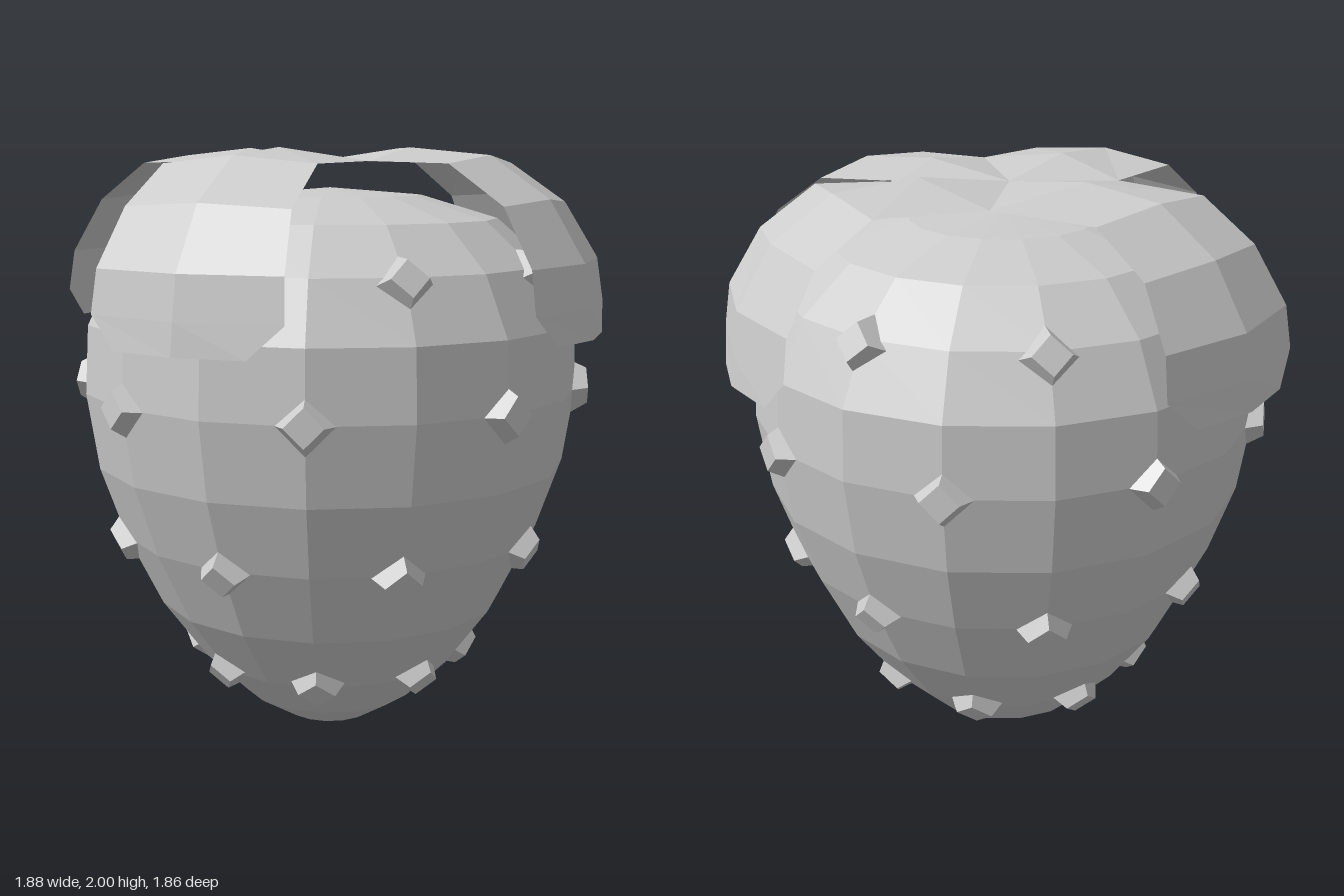
import * as THREE from 'three';

const grey = new THREE.MeshStandardMaterial({ color: 0xcccccc, flatShading: true, side: THREE.DoubleSide });
grey.name = 'grey';

// Body profile from the tip to the top: radius, height
const PROFILE = [
  [0, 0], [0.154, 0.034], [0.3, 0.125], [0.445, 0.27], [0.595, 0.475], [0.715, 0.72],
  [0.797, 0.957], [0.835, 1.21], [0.822, 1.435], [0.727, 1.625], [0.56, 1.77], [0.31, 1.845], [0, 1.87],
];

// Leaf rows from the root outwards:
// middle reach, middle height, half width, edge reach, edge height
const LEAF_ROWS = [
  [0.59, 1.975, 0.27, 0.56, 1.95],
  [0.79, 1.84, 0.285, 0.745, 1.825],
  [0.91, 1.645, 0.32, 0.85, 1.645],
  [0.932, 1.51, 0.33, 0.87, 1.51],
  [0.945, 1.41, 0.225, 0.905, 1.41],
];

// Points where neighbouring leaves meet: x, z
const FORKS = { frontLeft: [0.3, 0.28], frontRight: [-0.275, 0.22], backRight: [-0.18, -0.36], backLeft: [0.3, -0.19] };

function makeBody() {
  const points = PROFILE.map(([r, y]) => new THREE.Vector2(r, y));
  const body = new THREE.Mesh(new THREE.LatheGeometry(points, 16), grey);
  body.name = 'body';
  return body;
}

// Radius and outward slope of the body at a height
function surfaceAt(y) {
  const i = PROFILE.findIndex((p) => p[1] > y);
  const [r0, y0] = PROFILE[i - 1];
  const [r1, y1] = PROFILE[i];
  const t = (y - y0) / (y1 - y0);
  return { r: r0 + (r1 - r0) * t, out: y1 - y0, up: r0 - r1 };
}

// One ring of eight tapered, diamond-shaped seeds
function makeSeedRing(y, startAngle, geometry) {
  const ring = new THREE.Group();
  ring.name = 'seedRing';
  const { r, out, up } = surfaceAt(y);
  for (let i = 0; i < 8; i++) {
    const a = startAngle + (i * Math.PI) / 4;
    const normal = new THREE.Vector3(Math.sin(a) * out, up, Math.cos(a) * out).normalize();
    const side = new THREE.Vector3(Math.cos(a), 0, -Math.sin(a));
    const seed = new THREE.Mesh(geometry, grey);
    seed.name = 'seed';
    const basis = new THREE.Matrix4().makeBasis(side, normal, new THREE.Vector3().crossVectors(side, normal));
    seed.quaternion.setFromRotationMatrix(basis);
    seed.position.set(Math.sin(a) * r, y, Math.cos(a) * r);
    ring.add(seed);
  }
  return ring;
}

// Arched leaf sheet pointing along an angle, rooted between two forks
function makeLeaf(name, angle, minusFork, plusFork) {
  const ux = Math.sin(angle), uz = Math.cos(angle);
  const at = (along, y, across) => [ux * along + uz * across, y, uz * along - ux * across];
  const verts = [
    0, 1.96, 0,
    minusFork[0], 1.957, minusFork[1], ...at(0.31, 2, 0), plusFork[0], 1.957, plusFork[1],
  ];
  for (const [mid, midY, half, edge, edgeY] of LEAF_ROWS) {
    verts.push(...at(edge, edgeY, -half), ...at(mid, midY, 0), ...at(edge, edgeY, half));
  }
  const index = [0, 1, 2, 0, 2, 3];
  for (let row = 0; row < LEAF_ROWS.length; row++) {
    for (let col = 0; col < 2; col++) {
      const a = 1 + row * 3 + col;
      index.push(a, a + 3, a + 4, a, a + 4, a + 1);
    }
  }
  const indexed = new THREE.BufferGeometry();
  indexed.setAttribute('position', new THREE.Float32BufferAttribute(verts, 3));
  indexed.setIndex(index);
  const geometry = indexed.toNonIndexed();
  geometry.computeVertexNormals();
  const leaf = new THREE.Mesh(geometry, grey);
  leaf.name = name;
  return leaf;
}

export function createModel() {
  const model = new THREE.Group();
  model.name = 'strawberry';

  // Fruit with staggered rings of seeds
  const fruit = new THREE.Group();
  fruit.name = 'fruit';
  fruit.position.x = 0.02;
  fruit.add(makeBody());
  const seedGeometry = new THREE.CylinderGeometry(0.06, 0.1, 0.075, 4);
  const half = Math.PI / 8;
  for (const [y, start] of [[0.28, half], [0.71, 0], [1.21, half], [1.61, 0]]) {
    fruit.add(makeSeedRing(y, start, seedGeometry));
  }
  model.add(fruit);

  // Crown of four leaves
  const crown = new THREE.Group();
  crown.name = 'leafCrown';
  const deg = Math.PI / 180;
  crown.add(
    makeLeaf('frontLeaf', 0, FORKS.frontRight, FORKS.frontLeft),
    makeLeaf('leftLeaf', 90 * deg, FORKS.frontLeft, FORKS.backLeft),
    makeLeaf('backLeaf', 149.5 * deg, FORKS.backLeft, FORKS.backRight),
    makeLeaf('rightLeaf', 263.7 * deg, FORKS.backRight, FORKS.frontRight),
  );
  model.add(crown);
  return model;
}
